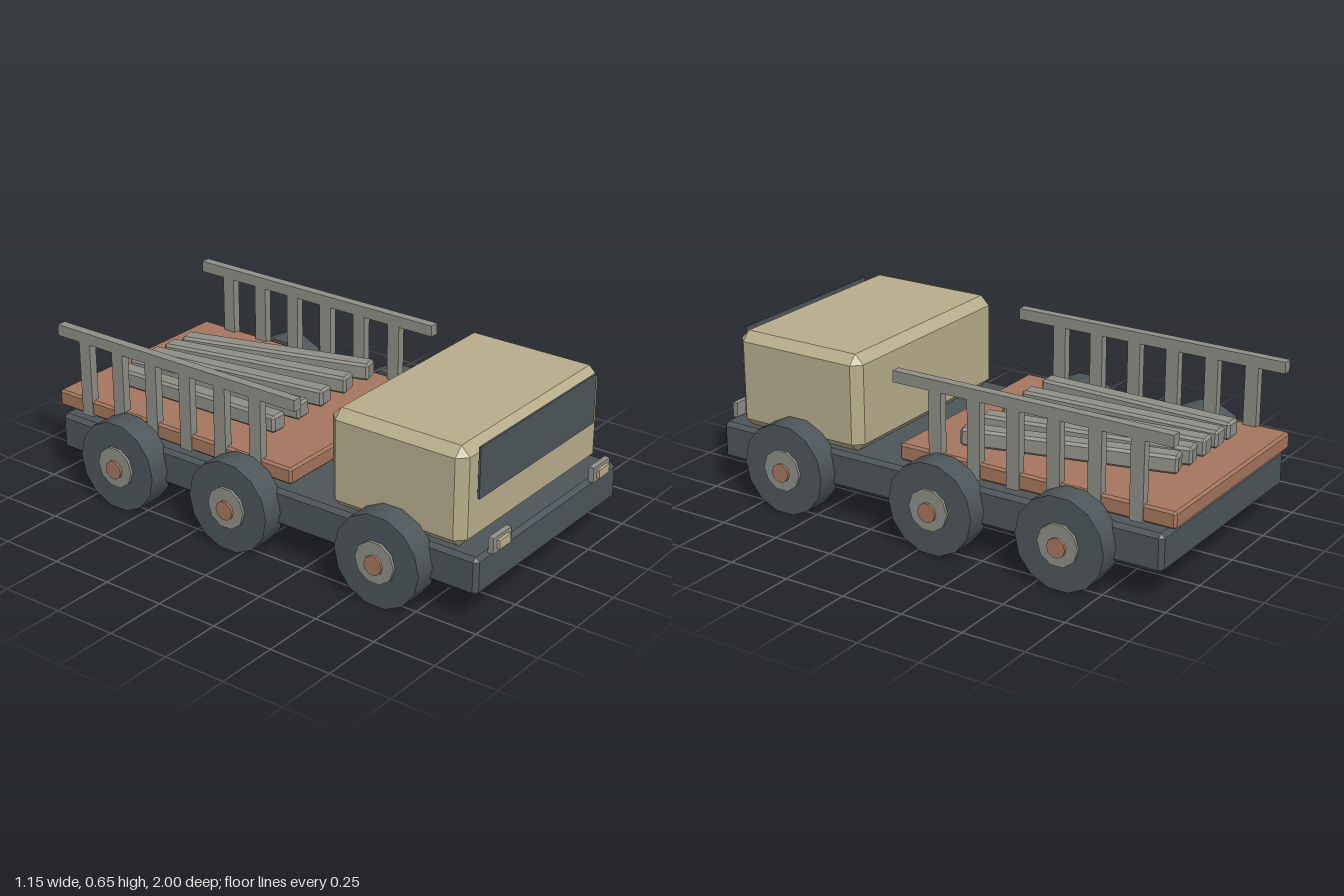
import * as THREE from 'three';
import { ConvexGeometry } from 'three/addons/geometries/ConvexGeometry.js';

const paint = (color) => new THREE.MeshStandardMaterial({ color });

// Box with flat chamfers on every edge, as the hull of its 24 corner points
function chamferBox(w, h, d, b) {
  const points = [];
  for (const x of [-1, 1]) for (const y of [-1, 1]) for (const z of [-1, 1]) {
    const [X, Y, Z] = [w / 2, h / 2, d / 2];
    points.push(
      new THREE.Vector3(x * X, y * (Y - b), z * (Z - b)),
      new THREE.Vector3(x * (X - b), y * Y, z * (Z - b)),
      new THREE.Vector3(x * (X - b), y * (Y - b), z * Z),
    );
  }
  return new ConvexGeometry(points);
}

export function createModel() {
  const model = new THREE.Group();
  model.name = 'flatbedTruck';
  const dark = paint(0x4d565a);
  const tan = paint(0xb8ad8c);
  const rust = paint(0xa5765e);
  const grey = paint(0x8f8f87);

  const add = (name, geometry, material, x, y, z, parent = model) => {
    const mesh = new THREE.Mesh(geometry, material);
    mesh.name = name;
    mesh.position.set(x, y, z);
    parent.add(mesh);
    return mesh;
  };

  // Body
  add('chassis', chamferBox(0.94, 0.15, 1.94, 0.016), dark, 0, 0.195, 0.005);
  add('cab', chamferBox(0.91, 0.385, 0.575, 0.036), tan, 0, 0.458, 0.613);
  add('windscreen', new THREE.BoxGeometry(0.76, 0.197, 0.008), dark, 0, 0.545, 0.914);
  add('bed', chamferBox(0.884, 0.067, 1.15, 0.009), rust, 0, 0.319, -0.423);

  // Wheels: tyre, hub and axle cap, each turned to lie along x
  const disc = (r, width, sides) => new THREE.CylinderGeometry(r, r, width, sides).rotateZ(Math.PI / 2);
  const tyre = disc(0.181, 0.105, 14);
  const hub = disc(0.083, 0.03, 10);
  const cap = disc(0.038, 0.03, 10);

  // Side fence
  const post = new THREE.BoxGeometry(0.034, 0.31, 0.054);
  const rail = new THREE.BoxGeometry(0.038, 0.045, 1.155);

  for (const side of [1, -1]) {
    const label = side > 0 ? 'left' : 'right';
    for (const z of [0.613, -0.057, -0.603]) {
      const wheel = new THREE.Group();
      wheel.name = label + 'Wheel';
      wheel.position.set(side * 0.502, 0.179, z);
      model.add(wheel);
      add('tyre', tyre, dark, 0, 0, 0, wheel);
      add('hub', hub, grey, side * 0.048, 0, 0, wheel);
      add('axleCap', cap, rust, side * 0.058, -0.007, 0, wheel);
    }

    const fence = new THREE.Group();
    fence.name = label + 'Fence';
    fence.position.x = side * 0.427;
    model.add(fence);
    add('topRail', rail, grey, 0, 0.61, -0.404, fence);
    for (let i = 0; i < 6; i++) {
      add('post', post, grey, side * 0.002, 0.44, -0.01 - i * 0.167, fence);
    }

    // Headlight: housing with a smaller lens in front
    add(label + 'HeadlightHousing', new THREE.BoxGeometry(0.114, 0.06, 0.022), grey, side * 0.334, 0.292, 0.977);
    add(label + 'HeadlightLens', new THREE.BoxGeometry(0.07, 0.034, 0.02), tan, side * 0.334, 0.292, 0.99);
  }

  // Planks fanned out on the bed: x at the rear end, x at the front end
  const ends = [[-0.247, -0.247], [-0.15, -0.1], [-0.055, 0.043], [0.043, 0.193], [0.138, 0.347]];
  ends.forEach(([rear, front]) => {
    const run = 0.785;
    const plank = add('plank', chamferBox(0.074, 0.07, 0.81, 0.01), grey, (rear + front) / 2, 0.401, -0.457);
    plank.rotation.set(-0.012, Math.atan2(front - rear, run), 0, 'YXZ');
  });

  return model;
}
